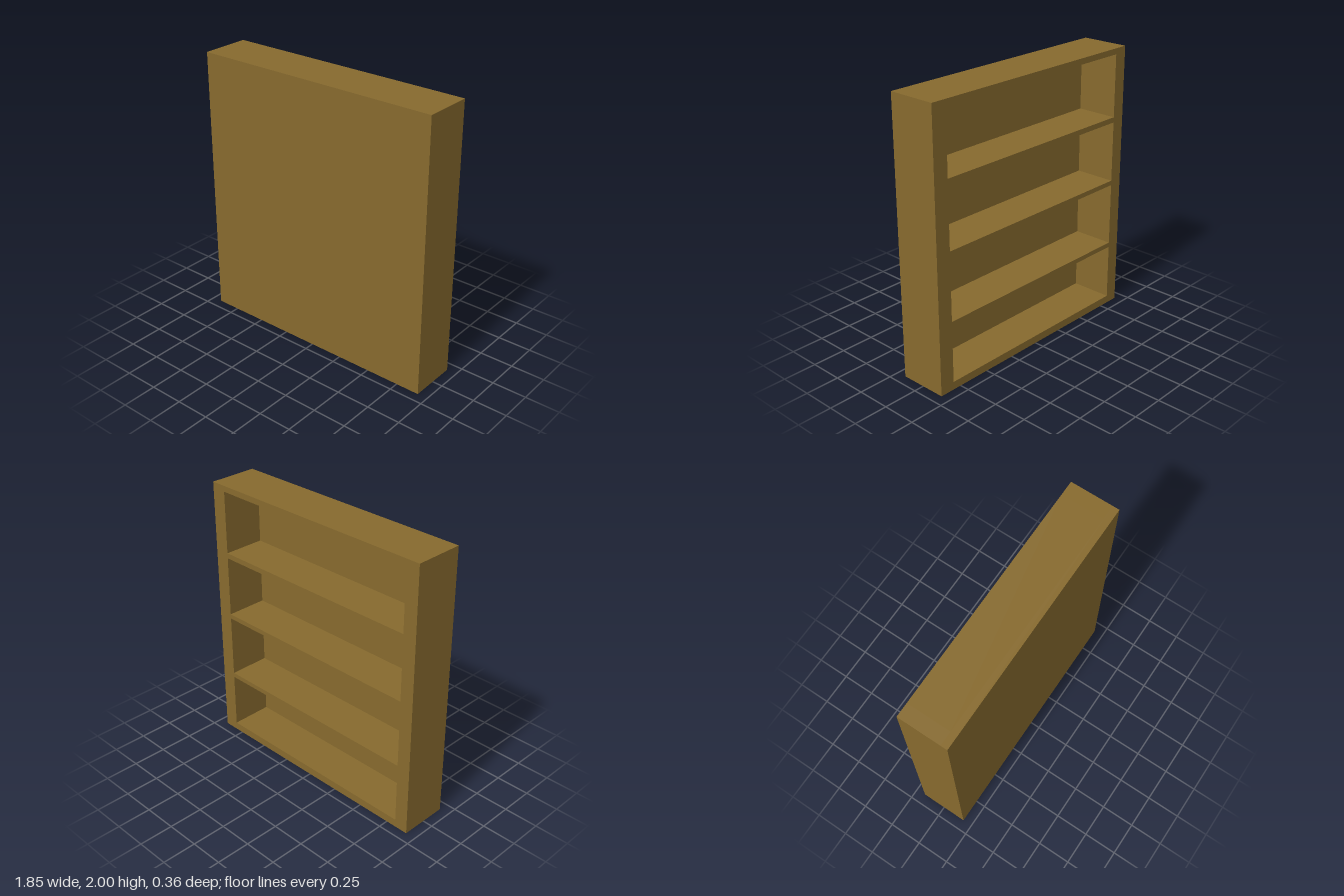
import * as THREE from 'three';

const HALF_W = 0.925, HEIGHT = 2, HALF_D = 0.178;
const PANEL = 0.048;              // thickness of the closed front panel
const INNER = [-0.825, 0.813];    // inner faces of the two side walls

export function createModel() {
  const group = new THREE.Group();
  group.name = 'bookcase';
  const wood = new THREE.MeshStandardMaterial({ color: 0x876a2e });

  // Box given by its extents along each axis
  const board = (name, [x0, x1], [y0, y1], [z0, z1]) => {
    const mesh = new THREE.Mesh(new THREE.BoxGeometry(x1 - x0, y1 - y0, z1 - z0), wood);
    mesh.position.set((x0 + x1) / 2, (y0 + y1) / 2, (z0 + z1) / 2);
    mesh.name = name;
    group.add(mesh);
  };

  const depth = [-HALF_D, HALF_D - PANEL];

  // Closed panel on the front; the compartments open to the back
  board('frontPanel', [-HALF_W, HALF_W], [0, HEIGHT], [HALF_D - PANEL, HALF_D]);

  // Side walls
  board('rightWall', [-HALF_W, INNER[0]], [0, HEIGHT], depth);
  board('leftWall', [INNER[1], HALF_W], [0, HEIGHT], depth);

  // Base, three shelves and top between the walls
  const levels = [
    ['base', 0, 0.058],
    ['lowerShelf', 0.475, 0.51],
    ['middleShelf', 0.976, 1.011],
    ['upperShelf', 1.459, 1.498],
    ['top', 1.957, HEIGHT],
  ];
  for (const [name, y0, y1] of levels) board(name, INNER, [y0, y1], depth);

  return group;
}
